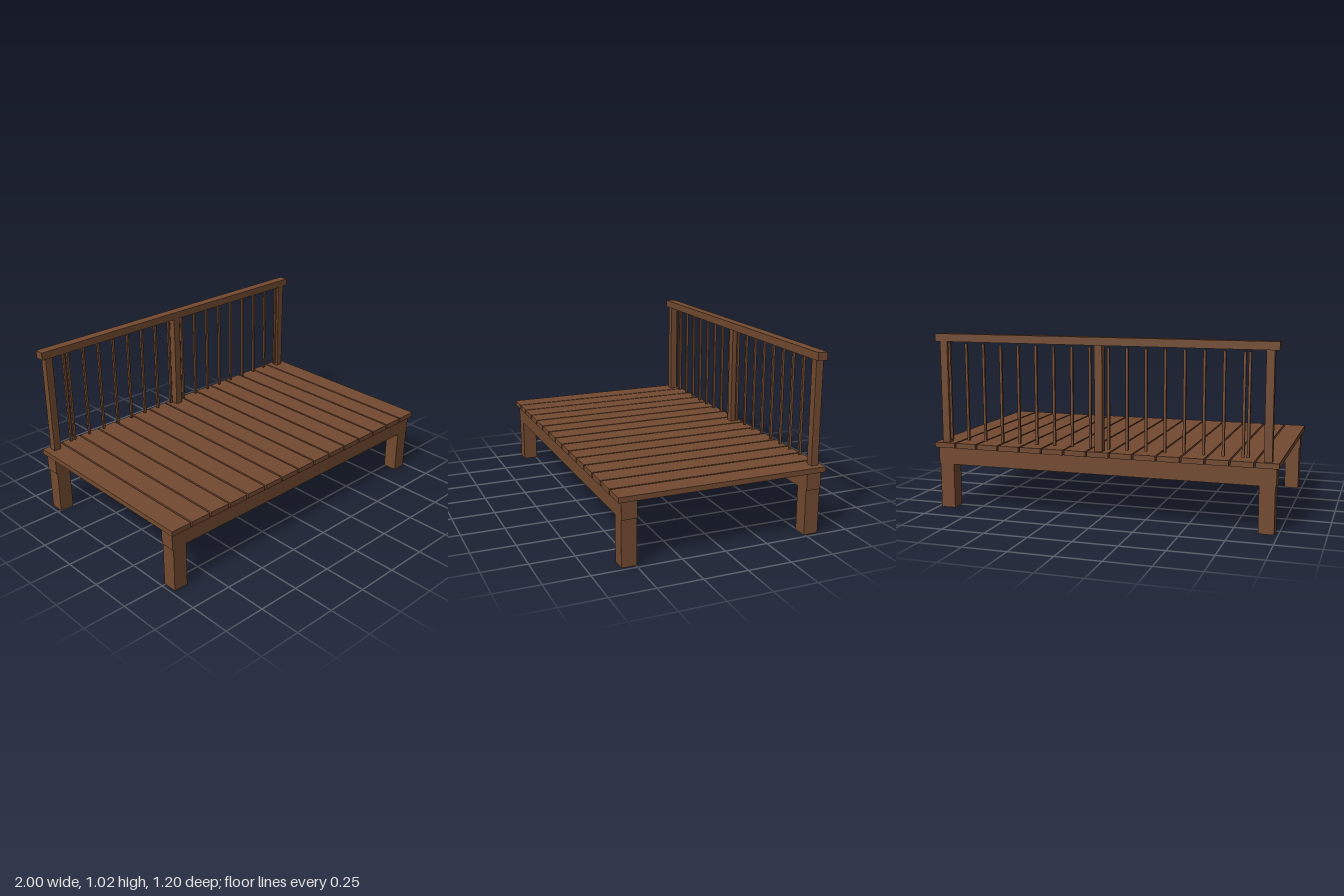
import * as THREE from 'three';

export function createModel() {
  const model = new THREE.Group();
  model.name = 'deckWithRailing';
  const wood = new THREE.MeshStandardMaterial({ color: 0x734a30 });
  wood.name = 'brown wood';

  // Box given by its extents on each axis
  function addBox(name, [x0, x1], [y0, y1], [z0, z1]) {
    const mesh = new THREE.Mesh(new THREE.BoxGeometry(x1 - x0, y1 - y0, z1 - z0), wood);
    mesh.name = name;
    mesh.position.set((x0 + x1) / 2, (y0 + y1) / 2, (z0 + z1) / 2);
    model.add(mesh);
  }

  // Deck planks with narrow gaps
  const planks = 15, plankWidth = 0.124;
  const pitch = (2 - plankWidth) / (planks - 1);
  for (let i = 0; i < planks; i++) {
    const x = -1 + i * pitch;
    addBox('deckPlank', [x, x + plankWidth], [0.36, 0.39], [-0.6, 0.6]);
  }

  // Front and back beams, each on two legs
  for (const [side, z] of [['front', [0.494, 0.58]], ['back', [-0.58, -0.494]]]) {
    addBox(side + 'Beam', [-0.985, 0.985], [0.26, 0.36], z);
    addBox(side + 'LeftLeg', [0.893, 0.979], [0, 0.26], z);
    addBox(side + 'RightLeg', [-0.979, -0.893], [0, 0.26], z);
  }

  // Railing posts and top rail
  for (const x of [-0.937, 0, 0.937]) {
    addBox('railPost', [x - 0.022, x + 0.022], [0.39, 0.977], [-0.577, -0.533]);
  }
  addBox('topRail', [-0.985, 0.985], [0.977, 1.022], [-0.584, -0.526]);

  // Evenly spaced balusters plus one extra near the right end
  const balusterX = [-0.829];
  for (let i = 0; i < 17; i++) balusterX.push(-0.802 + i * 0.107);
  for (const x of balusterX) {
    addBox('baluster', [x - 0.007, x + 0.007], [0.403, 0.966], [-0.562, -0.548]);
  }
  return model;
}
